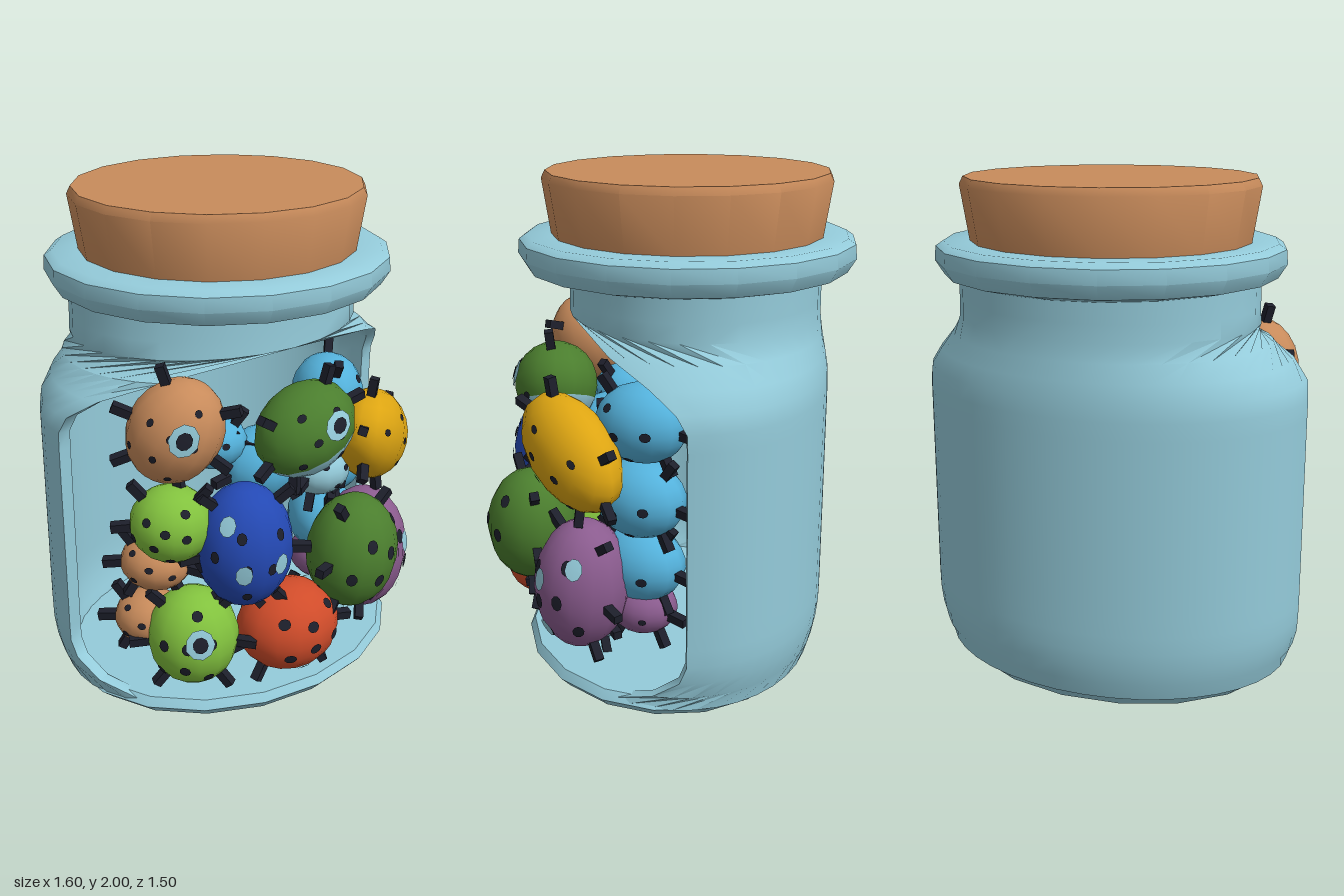
import * as THREE from 'three';
import { toCreasedNormals } from 'three/addons/utils/BufferGeometryUtils.js';

const mat = (name, color) => new THREE.MeshStandardMaterial({ name, color });
const glass = mat('paleGlass', 0x94cbda), cork = mat('cork', 0xc88b5b), black = mat('black', 0x1d1f2b);
const blue = mat('blue', 0x2449b4), green = mat('green', 0x4b7e2e), lime = mat('lime', 0x82c23e);
const yellow = mat('yellow', 0xdda512), red = mat('red', 0xd04c2a), purple = mat('purple', 0x8b5c8f);
const sky = mat('skyBlue', 0x54b2dc);
const { lerp, smoothstep } = THREE.MathUtils;

function add(parent, name, geo, material) {
  const m = new THREE.Mesh(geo, material);
  m.name = name;
  parent.add(m);
  return m;
}

// Turned solid, squeezed in z and moved to its own centre
function turned(points, squeeze, zc) {
  const g = new THREE.LatheGeometry(points.map(p => new THREE.Vector2(...p)), 18);
  g.scale(1, 1, squeeze).translate(0, 0, zc);
  return toCreasedNormals(g, 0.7);
}

// Glass wall with a cut-out front: closed C-shaped sections stacked upwards
function wallGeometry() {
  const levels = 24, n = 28, loop = 2 * (n + 1), pos = [], idx = [];
  for (let r = 0; r < levels; r++) {
    const y = 0.05 + 0.07 * r;
    const shoulder = smoothstep(y, 1.2, 1.47);
    const foot = 1 - 0.1 * Math.max(0, 1 - y / 0.3) ** 2;
    const rx = lerp(0.8, 0.61, shoulder) * foot, rz = lerp(0.62, 0.5, shoulder) * foot;
    const zc = lerp(-0.03, -0.115, shoulder);
    // The opening's edge sweeps forward at the foot and the shoulder
    const low = Math.max(0, (0.25 - y) / 0.2), high = Math.max(0, (y - 1.15) / 0.3);
    const edge = -0.02 + 0.3 * low ** 2 + 0.45 * high ** 2;
    const end = y > 1.44 ? Math.PI : Math.acos((zc - edge) / rz);
    for (let k = 0; k < loop; k++) {
      const inner = k > n, i = inner ? loop - 1 - k : k, t = inner ? 0.05 : 0;
      const a = end * (2 * i / n - 1);
      pos.push((rx - t) * Math.sin(a), y, zc - (rz - t) * Math.cos(a));
    }
  }
  for (let r = 0; r < levels - 1; r++) {
    for (let k = 0; k < loop; k++) {
      const a = r * loop + k, b = r * loop + (k + 1) % loop, c = a + loop, d = b + loop;
      idx.push(a, c, b, b, c, d);
    }
  }
  const g = new THREE.BufferGeometry();
  g.setAttribute('position', new THREE.Float32BufferAttribute(pos, 3));
  g.setIndex(idx);
  return toCreasedNormals(g, 0.8);
}

// Thin disc hugging the unit sphere, centred at (x, y) as seen from local +z
function spotGeometry(x, y, r, lift) {
  const g = new THREE.CircleGeometry(r, 9), p = g.attributes.position;
  const front = new THREE.Vector3(0, 0, 1);
  const dir = new THREE.Vector3(x, y, Math.sqrt(1 - x * x - y * y));
  const q = new THREE.Quaternion().setFromUnitVectors(front, dir);
  const v = new THREE.Vector3();
  for (let i = 0; i < p.count; i++) {
    v.fromBufferAttribute(p, i);
    v.z = Math.sqrt(1 - v.x * v.x - v.y * v.y);
    v.applyQuaternion(q).multiplyScalar(lift);
    p.setXYZ(i, v.x, v.y, v.z);
  }
  g.computeVertexNormals();
  return g;
}

// Spots scattered on a spiral over the bug's back
function scatter(body, name, material, count, size, phase, lift) {
  for (let i = 0; i < count; i++) {
    const d = 0.85 * Math.sqrt((i + 0.3) / count), a = i * 2.4 + phase;
    add(body, name, spotGeometry(d * Math.cos(a), d * Math.sin(a), size, lift), material);
  }
}

// Oval bug turned to face outwards from the jar
function addBug(parent, name, color, at, size, { roll = 0, spots = 7, dot = 0.12, pale = 0, eye = false, belly = color } = {}) {
  const bug = new THREE.Group(), body = new THREE.Group();
  bug.name = name;
  bug.position.set(...at);
  bug.rotation.set(0, 0.75 * Math.atan2(at[0], at[2]), roll, 'YXZ');
  body.name = 'body';
  body.scale.set(...size);
  bug.add(body);
  parent.add(bug);
  // Shell above, belly below
  const full = Math.PI * 2, split = Math.PI * 0.62;
  add(body, 'shell', new THREE.SphereGeometry(1, 14, 7, 0, full, 0, split), color);
  add(body, 'belly', new THREE.SphereGeometry(1, 14, 5, 0, full, split, Math.PI - split), belly);
  // Markings
  scatter(body, 'spot', black, spots, dot, at[0] * 9, 1.02);
  scatter(body, 'paleSpot', glass, pale, 0.17, at[1] * 5, 1.03);
  if (eye) {
    add(body, 'eyeRing', spotGeometry(0.2, 0.25, 0.3, 1.035), glass);
    add(body, 'eyePupil', spotGeometry(0.2, 0.25, 0.16, 1.05), black);
  }
  // Stubby legs round the edge
  const radii = new THREE.Vector3(...size), up = new THREE.Vector3(0, 1, 0);
  for (const side of [-1, 1]) for (const a of [-0.95, -0.1, 0.85]) {
    const d = new THREE.Vector3(side * Math.cos(a), Math.sin(a), 0.1).normalize();
    const normal = d.clone().divide(radii).normalize();
    const leg = add(bug, 'leg', new THREE.BoxGeometry(0.035, 0.09, 0.035), black);
    leg.position.copy(d).multiply(radii).addScaledVector(normal, 0.025);
    leg.quaternion.setFromUnitVectors(up, normal);
  }
}

export function createModel() {
  const model = new THREE.Group();
  model.name = 'bugJar';

  // Jar
  add(model, 'jarWall', wallGeometry(), glass);
  add(model, 'jarBase', turned([[0, 0], [0.69, 0], [0.745, 0.05], [0.72, 0.085], [0, 0.095]], 0.8, -0.005), glass);
  add(model, 'jarRim', turned([[0.56, 1.6], [0.66, 1.625], [0.695, 1.68], [0.69, 1.735], [0.66, 1.755], [0.53, 1.755]], 0.965, -0.085), glass);

  // Stopper
  add(model, 'corkLid', turned([[0, 1.6], [0.53, 1.6], [0.555, 1.75], [0.59, 1.97], [0.575, 2], [0, 2]], 0.97, -0.085), cork);

  // Front layer of bugs
  const pile = new THREE.Group();
  pile.name = 'bugs';
  model.add(pile);
  addBug(pile, 'orangeBug', cork, [-0.49, 1.21, 0.3], [0.18, 0.21, 0.17], { roll: -0.5, eye: true, dot: 0.08 });
  addBug(pile, 'twoToneBug', green, [0.01, 1.14, 0.45], [0.22, 0.175, 0.17], { roll: 0.4, eye: true, dot: 0.09, belly: glass });
  addBug(pile, 'yellowBug', yellow, [0.42, 0.99, 0.39], [0.28, 0.185, 0.15], { roll: -0.5, dot: 0.08 });
  addBug(pile, 'blueBug', blue, [-0.3, 0.75, 0.47], [0.19, 0.25, 0.18], { pale: 3, dot: 0.1 });
  addBug(pile, 'greenBug', green, [0.18, 0.605, 0.56], [0.195, 0.235, 0.18], { roll: -0.15 });
  addBug(pile, 'purpleBug', purple, [0.43, 0.45, 0.36], [0.19, 0.27, 0.19], { roll: -0.1, pale: 3 });
  addBug(pile, 'redBug', red, [-0.11, 0.35, 0.51], [0.21, 0.185, 0.185]);
  addBug(pile, 'limeBug', lime, [-0.48, 0.375, 0.38], [0.18, 0.2, 0.17], { eye: true });

  // Bugs packed behind them
  const wide = [0.19, 0.155, 0.15], small = [0.14, 0.11, 0.13];
  const few = { spots: 4 };
  addBug(pile, 'upperLimeBug', lime, [-0.53, 0.85, 0.32], [0.16, 0.15, 0.15]);
  addBug(pile, 'sideOrangeBug', cork, [-0.55, 0.66, 0.24], small, few);
  addBug(pile, 'lowOrangeBug', cork, [-0.56, 0.4, 0.2], small, few);
  addBug(pile, 'upperSkyBug', sky, [0.42, 1.1, 0.12], wide, few);
  addBug(pile, 'rightSkyBug', sky, [0.43, 0.8, 0.13], wide, few);
  addBug(pile, 'middleSkyBug', sky, [-0.02, 0.93, 0.24], wide, few);
  addBug(pile, 'leftSkyBug', sky, [-0.22, 1.05, 0.16], small, few);
  addBug(pile, 'lowSkyBug', sky, [0.4, 0.52, 0.13], wide, few);
  addBug(pile, 'bottomSkyBug', sky, [0.05, 0.2, 0.22], small, few);
  addBug(pile, 'backPurpleBug', purple, [0.4, 0.33, 0.12], small, few);
  addBug(pile, 'paleBug', glass, [0.18, 0.89, 0.34], small, few);
  addBug(pile, 'lowPaleBug', glass, [0.22, 0.22, 0.3], small, { spots: 0 });
  return model;
}
